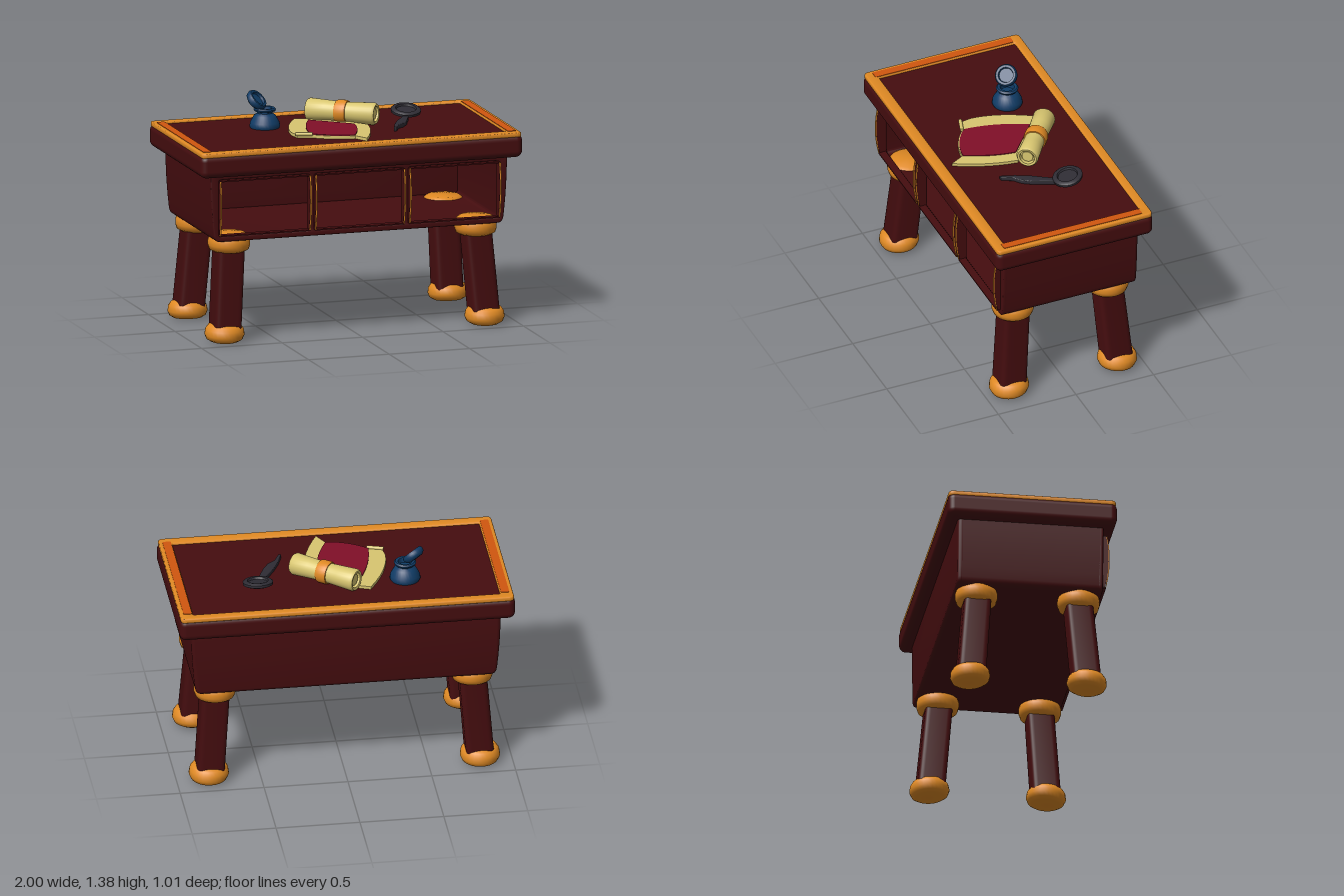
import * as THREE from 'three';
import { toCreasedNormals } from 'three/addons/utils/BufferGeometryUtils.js';
import { RoundedBoxGeometry } from 'three/addons/geometries/RoundedBoxGeometry.js';

const paint = (name, color, side = THREE.FrontSide) => {
  const m = new THREE.MeshStandardMaterial({ color, side });
  m.name = name;
  return m;
};

const V2 = (pts) => pts.map(([x, y]) => new THREE.Vector2(x, y));

// Rounded rectangle as a shape or a hole
function roundRect(x0, y0, x1, y1, r, Type = THREE.Shape) {
  const s = new Type();
  s.moveTo(x0 + r, y0);
  s.lineTo(x1 - r, y0);
  s.quadraticCurveTo(x1, y0, x1, y0 + r);
  s.lineTo(x1, y1 - r);
  s.quadraticCurveTo(x1, y1, x1 - r, y1);
  s.lineTo(x0 + r, y1);
  s.quadraticCurveTo(x0, y1, x0, y1 - r);
  s.lineTo(x0, y0 + r);
  s.quadraticCurveTo(x0, y0, x0 + r, y0);
  return s;
}

// Extrusion from depth a to b, the bevel lying inside that span
function extrude(shape, a, b, bevel = 0) {
  const g = new THREE.ExtrudeGeometry(shape, {
    depth: b - a - 2 * bevel, bevelEnabled: bevel > 0, bevelSize: bevel, bevelThickness: bevel,
    bevelOffset: -bevel, bevelSegments: 3, curveSegments: 6,
  });
  g.translate(0, 0, a + bevel);
  return toCreasedNormals(g, 0.6);
}

// Horizontal plate whose shape is drawn in x and z
function plate(shape, y0, y1, bevel = 0) {
  return extrude(shape, -y1, -y0, bevel).rotateX(Math.PI / 2);
}

const lathe = (pts, n = 28) => toCreasedNormals(new THREE.LatheGeometry(V2(pts), n), 0.9);

export function createModel() {
  const wood = paint('dark red wood', 0x450d0f);
  const gold = paint('gold', 0xe08a24);
  const orange = paint('orange', 0xd0560f);
  const parchment = paint('parchment', 0xd8c670, THREE.DoubleSide);
  const crimson = paint('crimson', 0x800f28);
  const blue = paint('ink blue', 0x103c66, THREE.DoubleSide);
  const charcoal = paint('charcoal', 0x2e2c34);

  const model = new THREE.Group();
  const add = (name, geometry, material, parent = model) => {
    const m = new THREE.Mesh(geometry, material);
    m.name = name;
    parent.add(m);
    return m;
  };

  // Table top with its raised gold rim
  add('tableTop', new RoundedBoxGeometry(2, 0.14, 1.01, 4, 0.04), wood).position.y = 1.09;
  const rim = roundRect(-0.993, -0.5, 0.993, 0.498, 0.03);
  rim.holes.push(roundRect(-0.915, -0.445, 0.915, 0.43, 0.01, THREE.Path));
  add('topRim', plate(rim, 1.142, 1.172, 0.008), gold);
  for (const s of [-1, 1]) {
    const strip = roundRect(s * 0.946 - 0.025, -0.44, s * 0.946 + 0.025, 0.45, 0.01);
    add('rimStrip', plate(strip, 1.168, 1.175), orange);
  }

  // Hollow cabinet: sleeve, back wall and front frame with three openings
  const outline = () => {
    const s = new THREE.Shape();
    s.moveTo(-0.86, 0.62);
    s.lineTo(0.86, 0.62);
    s.quadraticCurveTo(0.895, 0.62, 0.9, 0.66);
    s.quadraticCurveTo(0.922, 0.85, 0.922, 1.04);
    s.lineTo(-0.922, 1.04);
    s.quadraticCurveTo(-0.922, 0.85, -0.9, 0.66);
    s.quadraticCurveTo(-0.895, 0.62, -0.86, 0.62);
    return s;
  };
  const sleeve = outline();
  sleeve.holes.push(roundRect(-0.885, 0.635, 0.885, 1.02, 0.02, THREE.Path));
  add('cabinetSleeve', extrude(sleeve, -0.41, 0.412), wood);
  add('cabinetBack', extrude(outline(), -0.437, -0.39, 0.02), wood);
  const front = outline();
  const bays = [[-0.868, -0.31], [-0.275, 0.275], [0.31, 0.868]];
  for (const [a, b] of bays) front.holes.push(roundRect(a, 0.655, b, 0.995, 0.02, THREE.Path));
  add('cabinetFront', extrude(front, 0.4, 0.432, 0.008), wood);

  // Bowed drawer surrounds with fine gold edges
  const cheek = (inner, outer) => {
    const s = new THREE.Shape();
    s.moveTo(inner, 0.66);
    s.lineTo(outer - 0.022, 0.66);
    s.quadraticCurveTo(outer + 0.018, 0.83, outer - 0.015, 0.99);
    s.lineTo(inner, 0.99);
    s.quadraticCurveTo(inner + (inner > 0.43 ? 0.025 : 0), 0.83, inner, 0.66);
    return s;
  };
  for (const [a, b] of bays) {
    for (const x of [a, b]) {
      const g = extrude(cheek(0.41, 0.47), -0.005, 0.005).rotateY(-Math.PI / 2);
      // the shape's x axis becomes z
      add('drawerCheek', g, wood).position.x = x;
      const e = extrude(cheek(0.452, 0.476), -0.004, 0.004).rotateY(-Math.PI / 2);
      add('drawerEdge', e, gold).position.x = x;
    }
    for (const y of [0.66, 0.99]) {
      add('drawerRail', new THREE.BoxGeometry(b - a, 0.008, 0.045), wood).position.set((a + b) / 2, y, 0.432);
    }
  }

  // Splayed legs with gold collars and feet
  const collar = lathe([[0, 0.54], [0.095, 0.54], [0.117, 0.552], [0.126, 0.58], [0.126, 0.605],
    [0.118, 0.632], [0.095, 0.648], [0, 0.648]]);
  const foot = lathe([[0, 0], [0.085, 0], [0.108, 0.014], [0.119, 0.04], [0.114, 0.072],
    [0.098, 0.095], [0.07, 0.106], [0, 0.108]]);
  for (const sx of [-1, 1]) for (const sz of [-1, 1]) {
    const leg = new THREE.Group();
    leg.name = sz > 0 ? 'frontLeg' : 'backLeg';
    model.add(leg);
    const post = plate(roundRect(-0.083, -0.085, 0.083, 0.085, 0.035), 0.05, 0.6);
    const p = post.attributes.position;
    for (let i = 0; i < p.count; i++) {
      const t = (p.getY(i) - 0.05) / 0.55;
      p.setX(i, p.getX(i) + sx * (0.805 - 0.04 * t));
      p.setZ(i, p.getZ(i) * (1 - 0.05 * t) + sz * (0.345 - 0.045 * t));
    }
    add('legPost', post, wood, leg);
    add('legCollar', collar, gold, leg).position.set(sx * 0.766, 0, sz * 0.305);
    const f = add('legFoot', foot, gold, leg);
    f.position.set(sx * 0.808, 0.008, sz * 0.345);
    f.rotation.x = sz * 0.06;
  }

  // Open parchment sheet with a crimson panel
  const sheet = new THREE.Shape();
  sheet.moveTo(-0.17, -0.27);
  sheet.quadraticCurveTo(-0.3, -0.07, -0.31, 0.1);
  sheet.lineTo(-0.3, 0.18);
  sheet.lineTo(-0.22, 0.2);
  sheet.quadraticCurveTo(-0.11, 0.3, 0.02, 0.305);
  sheet.lineTo(0.065, 0.39);
  sheet.quadraticCurveTo(0.17, 0.2, 0.19, 0.02);
  sheet.lineTo(0.02, -0.2);
  add('parchmentSheet', plate(sheet, 1.158, 1.178), parchment);
  const panel = new THREE.Shape();
  panel.moveTo(-0.11, -0.19);
  panel.quadraticCurveTo(-0.21, 0.0, -0.22, 0.19);
  panel.quadraticCurveTo(-0.11, 0.29, 0.02, 0.3);
  panel.quadraticCurveTo(0.1, 0.15, 0.115, 0);
  add('parchmentPanel', plate(panel, 1.175, 1.183), crimson);
  const curl = add('sheetCurl', new THREE.CylinderGeometry(0.011, 0.011, 0.1, 10), parchment);
  curl.position.set(-0.26, 1.183, 0.188);
  curl.rotation.set(0, -0.3, Math.PI / 2);

  // Rolled scroll, hollow at the ends, tied with a gold band
  const scroll = new THREE.Group();
  scroll.name = 'scroll';
  scroll.position.set(0.085, 1.229, -0.142);
  scroll.rotation.set(0, -0.66, -Math.PI / 2);
  model.add(scroll);
  add('scrollRoll', lathe([[0.045, -0.16], [0.045, -0.212], [0.06, -0.215], [0.068, -0.2], [0.063, -0.1],
    [0.058, 0], [0.062, 0.1], [0.067, 0.2], [0.058, 0.215], [0.045, 0.212], [0.045, 0.16]]), parchment, scroll);
  add('scrollCore', new THREE.CylinderGeometry(0.034, 0.034, 0.405, 18), parchment, scroll);
  add('scrollCoreBack', new THREE.CylinderGeometry(0.046, 0.046, 0.36, 18), parchment, scroll);
  add('scrollBand', lathe([[0.05, -0.035], [0.066, -0.034], [0.07, -0.02], [0.07, 0.02],
    [0.066, 0.034], [0.05, 0.035]]), gold, scroll);

  // Ink bottle with its lid tipped open
  const bottle = add('inkBottle', lathe([[0, 0], [0.085, 0], [0.091, 0.012], [0.087, 0.035], [0.065, 0.075],
    [0.045, 0.09], [0.045, 0.098], [0.062, 0.103], [0.066, 0.114], [0.058, 0.122], [0.042, 0.12], [0.038, 0.09], [0, 0.09]]), blue);
  bottle.position.set(-0.388, 1.158, -0.165);
  const lid = add('inkLid', lathe([[0, -0.03], [0.045, -0.028], [0.064, -0.014], [0.068, 0.006], [0.06, 0.02],
    [0.046, 0.02], [0.042, 0.006], [0, 0.006]]), blue);
  lid.position.set(-0.435, 1.325, -0.18);
  lid.quaternion.setFromUnitVectors(new THREE.Vector3(0, 1, 0), new THREE.Vector3(0.75, 1, 0.7).normalize());

  // Round hand lens with a tapering handle
  const lens = add('lensHead', lathe([[0, -0.016], [0.07, -0.016], [0.088, -0.008], [0.09, 0.008], [0.078, 0.018],
    [0.062, 0.016], [0.057, 0.004], [0, 0.004]]), charcoal);
  lens.position.set(0.49, 1.202, -0.17);
  lens.rotation.x = 0.2;
  const grip = new THREE.Shape(V2([[0.45, -0.11], [0.415, -0.05], [0.375, 0.01], [0.33, 0.1], [0.3, 0.185],
    [0.318, 0.185], [0.35, 0.12], [0.395, 0.085], [0.43, 0.03], [0.455, -0.03], [0.485, -0.1]]));
  add('lensHandle', plate(grip, 1.16, 1.186, 0.004), charcoal);

  return model;
}
